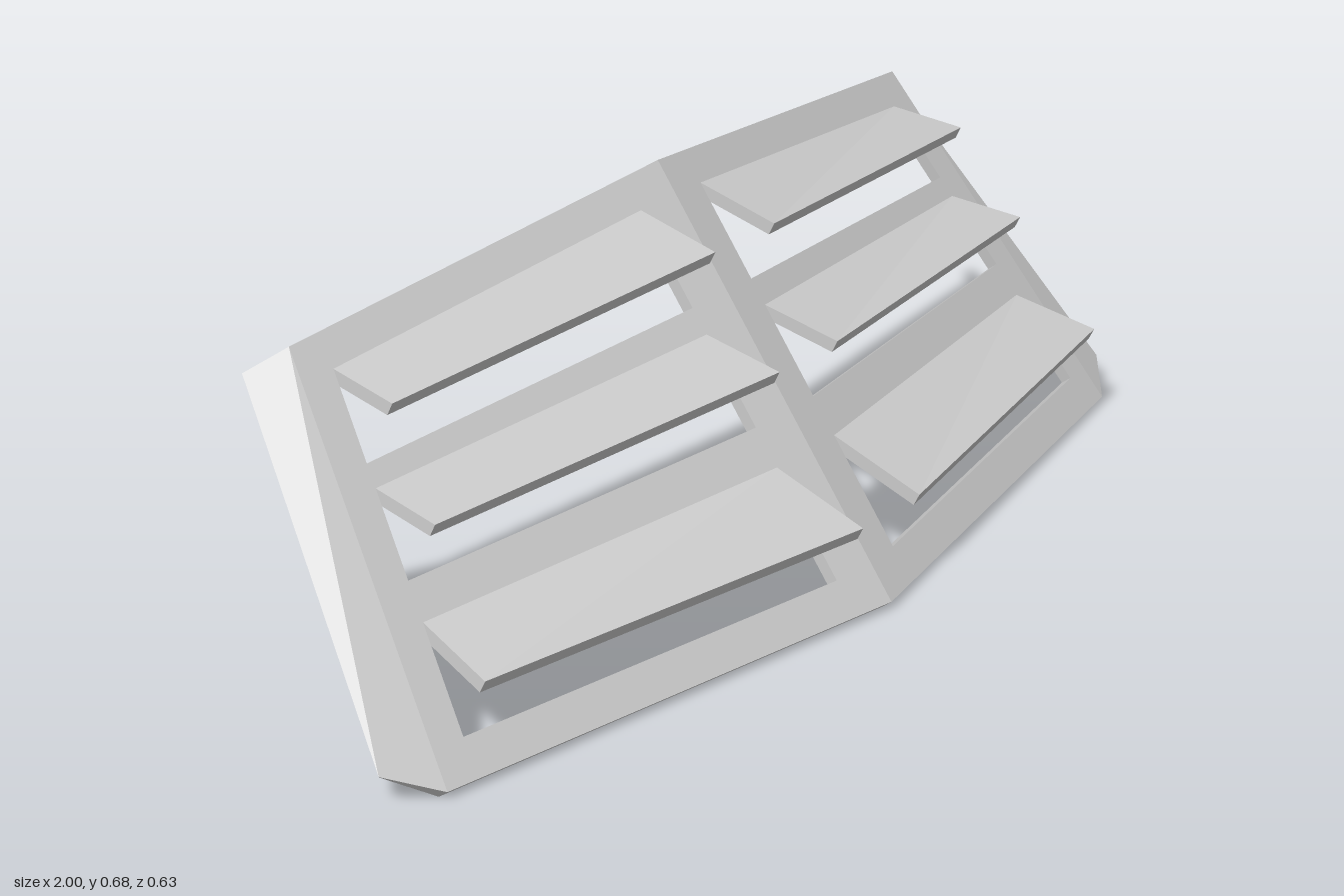
import * as THREE from 'three';

const material = new THREE.MeshStandardMaterial({ color: 0xcccccc, flatShading: true });
const BACK = [0, -0.014, -0.018]; // sheet thickness, front to rear

// Front plane of each half: leans back with height and sweeps back to the side
const planeZ = (x, y) => 0.31 - 0.724 * (y - 0.015) - 0.185 * Math.abs(x);
const onPlane = (x, y) => [x, y, planeZ(x, y)];

// Outer edge of the openings narrows towards the top
const openingX = (y) => 0.85 - 0.21 * (y - 0.07);
const INNER = 0.08;

// Solid between a face (counter-clockwise seen from outside) and its offset copy
function slab(face, offsets, side) {
  const n = face.length;
  let a = face.map((p) => [p[0] * side, p[1], p[2]]);
  let b = face.map((p, i) => [(p[0] + offsets[i][0]) * side, p[1] + offsets[i][1], p[2] + offsets[i][2]]);
  if (side < 0) { a = a.reverse(); b = b.reverse(); }
  const pos = [];
  const tri = (...pts) => pts.forEach((p) => pos.push(...p));
  for (let i = 1; i < n - 1; i++) {
    tri(a[0], a[i], a[i + 1]);
    tri(b[0], b[i + 1], b[i]);
  }
  for (let i = 0; i < n; i++) {
    const j = (i + 1) % n;
    tri(a[i], b[i], b[j]);
    tri(a[i], b[j], a[j]);
  }
  const g = new THREE.BufferGeometry();
  g.setAttribute('position', new THREE.Float32BufferAttribute(pos, 3));
  g.computeVertexNormals();
  return g;
}

// Heights of each opening: lower inner/outer, upper inner/outer
const openings = [
  [0.07, 0.07, 0.24, 0.22],
  [0.30, 0.275, 0.44, 0.397],
  [0.48, 0.43, 0.627, 0.556],
];

// Front edge of each slat: inner and outer corner
const slatFronts = [
  [[INNER, 0.18, 0.307], [0.85, 0.18, 0.16]],
  [[INNER, 0.412, 0.137], [0.80, 0.382, 0.025]],
  [[INNER, 0.59, 0.006], [0.765, 0.54, -0.085]],
];

// Flat sheet with three openings, draped on the leaning plane
function frameGeometry(side) {
  const path = (pts) => pts.map(([x, y]) => new THREE.Vector2(x * side, y));
  const shape = new THREE.Shape(path([[0, 0.015], [0.92, 0.015], [0.8, 0.6], [0, 0.685]]));
  for (const [li, lo, ui, uo] of openings) {
    shape.holes.push(new THREE.Path(path([[INNER, li], [INNER, ui], [openingX(uo), uo], [openingX(lo), lo]])));
  }
  const g = new THREE.ExtrudeGeometry(shape, { depth: 1, bevelEnabled: false });
  const p = g.attributes.position;
  for (let i = 0; i < p.count; i++) {
    const x = p.getX(i), y = p.getY(i), rear = 1 - p.getZ(i);
    p.setXYZ(i, x, y + BACK[1] * rear, planeZ(x, y) + BACK[2] * rear);
  }
  g.computeVertexNormals();
  return g;
}

export function createModel() {
  const model = new THREE.Group();
  model.name = 'louverPanel';
  const add = (name, geometry) => {
    const mesh = new THREE.Mesh(geometry, material);
    mesh.name = name;
    model.add(mesh);
  };

  for (const side of [1, -1]) {
    const label = side > 0 ? 'left' : 'right';
    add(label + 'Frame', frameGeometry(side));

    // Folded-back outer flange
    const flange = [onPlane(0.92, 0.015), [1, 0.055, 0.075], [0.86, 0.565, -0.305], onPlane(0.8, 0.6)];
    const rim = [-0.015, -0.012, -0.012];
    add(label + 'Flange', slab(flange, [BACK, rim, rim, BACK], side));

    // Slats reaching forward from the top of each opening
    slatFronts.forEach(([inner, outer], i) => {
      const [, , ui, uo] = openings[i];
      const face = [inner, outer, onPlane(openingX(uo), uo), onPlane(INNER, ui)];
      add(label + 'Slat' + (i + 1), slab(face, face.map(() => [0, -0.022, -0.011]), side));
    });
  }
  return model;
}
